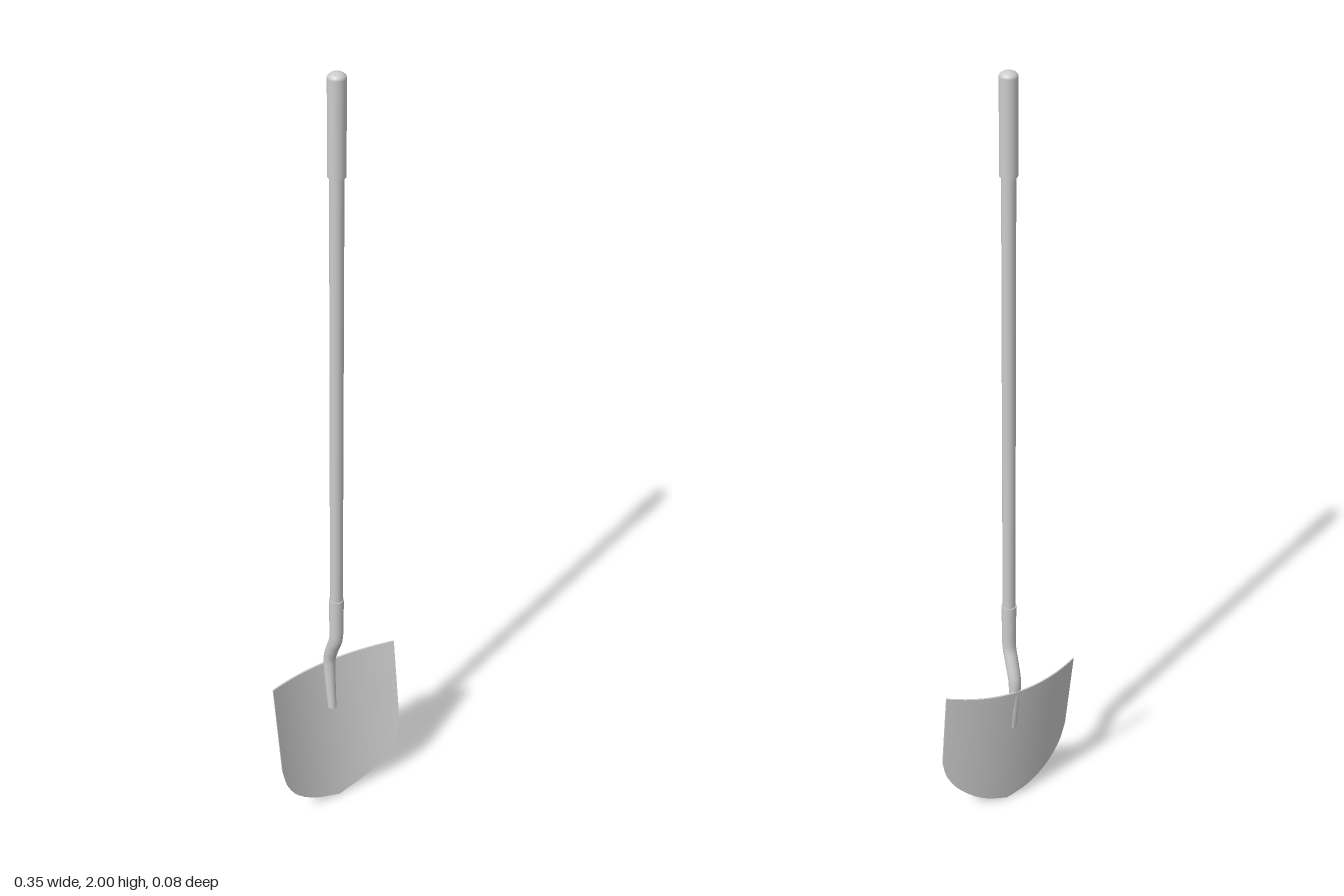
import * as THREE from 'three';

const material = new THREE.MeshStandardMaterial({ color: 0xcccccc });
const SHAFT_Z = 0.01;

function add(parent, name, geometry) {
  const mesh = new THREE.Mesh(geometry, material);
  mesh.name = name;
  parent.add(mesh);
  return mesh;
}

// Thin sheet, bowed across its width, tilted, with a rounded point below
function bladeGeometry() {
  const half = 0.175;
  const edge = new THREE.CatmullRomCurve3(
    [[0, 0], [0.07, 0.027], [0.13, 0.077], [0.162, 0.13], [half, 0.19]]
      .map(([x, y]) => new THREE.Vector3(x, y, 0)));
  const geometry = new THREE.BoxGeometry(2, 1, 0.004, 24, 12, 1);
  const pos = geometry.attributes.position;
  for (let i = 0; i < pos.count; i++) {
    const u = pos.getX(i);
    const low = edge.getPoint(Math.min(1, Math.abs(u)));
    const bow = (low.x / half) ** 2;
    const y = THREE.MathUtils.lerp(low.y, 0.424 + 0.016 * bow, pos.getY(i) + 0.5);
    const z = 0.026 - 0.148 * y + 0.039 * bow + pos.getZ(i);
    pos.setXYZ(i, Math.sign(u) * low.x, y, z);
  }
  geometry.computeVertexNormals();
  return geometry;
}

// Bent tube that narrows towards its lower end, closed at both ends
function buildSocket() {
  const group = new THREE.Group();
  group.name = 'socket';
  const path = new THREE.CatmullRomCurve3(
    [[0.665, SHAFT_Z], [0.6, SHAFT_Z], [0.535, 0.008], [0.495, -0.007],
      [0.455, -0.021], [0.43, -0.023], [0.36, -0.018], [0.29, -0.01]]
      .map(([y, z]) => new THREE.Vector3(0, y, z)));
  const rows = 40, sides = 24;
  const radius = t => t < 0.55 ? 0.018 - 0.002 * t / 0.55 : 0.016 - 0.005 * (t - 0.55) / 0.45;
  const geometry = new THREE.TubeGeometry(path, rows, 1, sides);
  const pos = geometry.attributes.position;
  const v = new THREE.Vector3();
  for (let i = 0; i < pos.count; i++) {
    const t = Math.floor(i / (sides + 1)) / rows;
    const centre = path.getPointAt(t);
    v.fromBufferAttribute(pos, i).sub(centre).multiplyScalar(radius(t)).add(centre);
    pos.setXYZ(i, v.x, v.y, v.z);
  }
  add(group, 'socketTube', geometry);
  for (const t of [0, 1]) {
    const cap = add(group, t ? 'socketLowerCap' : 'socketUpperCap', new THREE.CircleGeometry(radius(t), sides));
    const outward = path.getTangentAt(t).multiplyScalar(t ? 1 : -1);
    cap.position.copy(path.getPointAt(t));
    cap.quaternion.setFromUnitVectors(new THREE.Vector3(0, 0, 1), outward);
  }
  return group;
}

// Sleeve with a softly domed top
function gripGeometry() {
  const r = 0.0195, bottom = 1.78, dome = 0.012;
  const points = [new THREE.Vector2(0, bottom), new THREE.Vector2(r, bottom), new THREE.Vector2(r, bottom)];
  for (let i = 0; i <= 8; i++) {
    const a = i / 8 * Math.PI / 2;
    points.push(new THREE.Vector2(i === 8 ? 0 : r * Math.cos(a), 2 - dome + dome * Math.sin(a)));
  }
  return new THREE.LatheGeometry(points, 24);
}

export function createModel() {
  const model = new THREE.Group();
  model.name = 'shovel';

  add(model, 'blade', bladeGeometry());
  model.add(buildSocket());

  const shaft = add(model, 'shaft', new THREE.CylinderGeometry(0.0155, 0.0155, 1.18, 24));
  shaft.position.set(0, 1.23, SHAFT_Z);

  const grip = add(model, 'grip', gripGeometry());
  grip.position.z = SHAFT_Z;

  return model;
}
